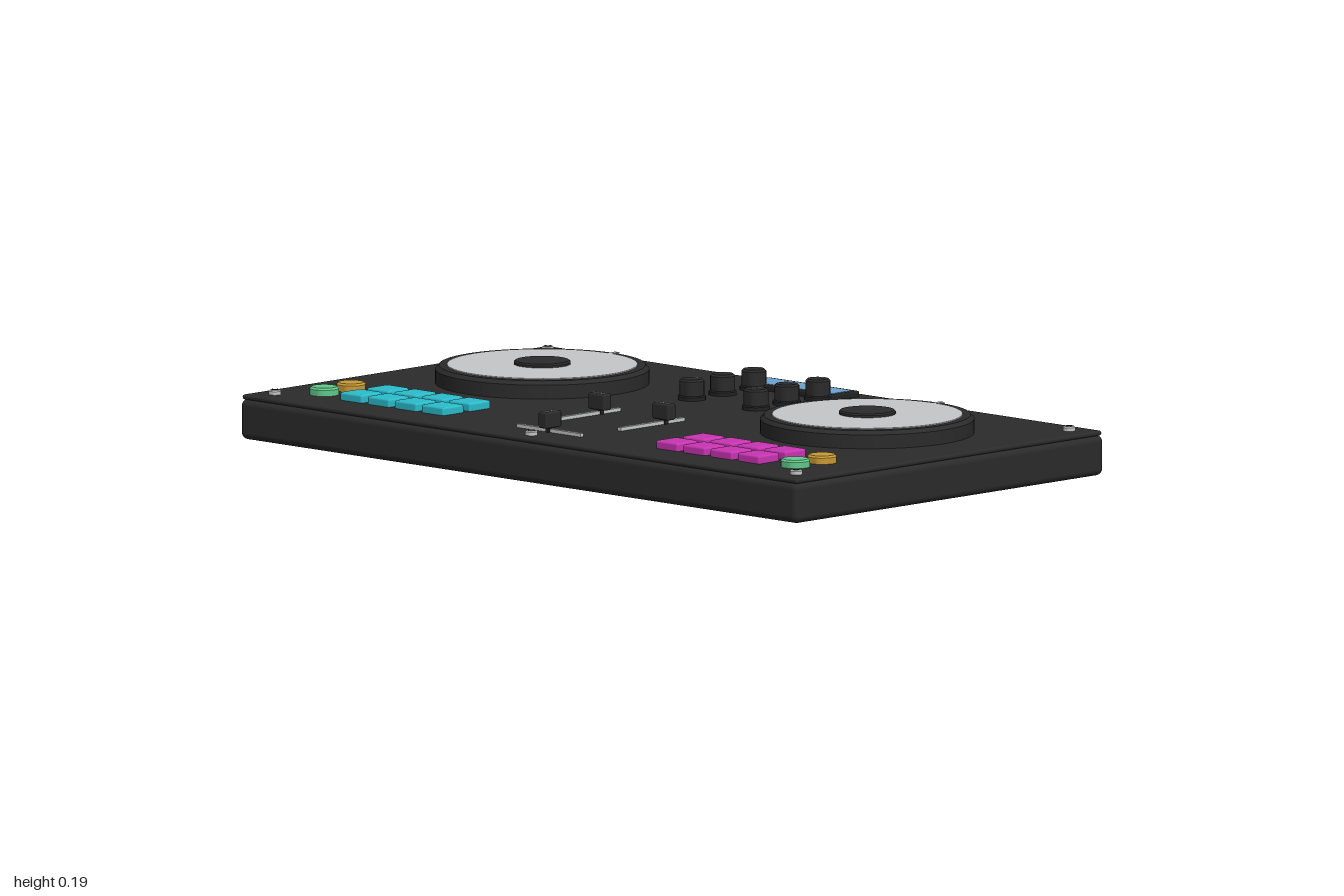
import * as THREE from 'three';
import { toCreasedNormals } from 'three/addons/utils/BufferGeometryUtils.js';
import { RoundedBoxGeometry } from 'three/addons/geometries/RoundedBoxGeometry.js';

const mat = (name, color) => {
  const m = new THREE.MeshStandardMaterial({ color });
  m.name = name;
  return m;
};

export function createModel() {
  const casing = mat('charcoal casing', 0x2b2b2b);
  const rubber = mat('black rubber', 0x222222);
  const silver = mat('silver', 0xc6c7c8);
  const cyan = mat('cyan pad', 0x2bbccb);
  const magenta = mat('magenta pad', 0xc935b3);
  const gold = mat('amber button', 0xc99a35);
  const green = mat('green button', 0x62c98a);
  const blue = mat('screen blue', 0x6fa3d0);

  const model = new THREE.Group();
  model.name = 'mixingController';
  const DECK = 0.134; // height of the top surface

  const add = (name, geometry, material, x, y, z, parent = model) => {
    const mesh = new THREE.Mesh(geometry, material);
    mesh.name = name;
    mesh.position.set(x, y, z);
    parent.add(mesh);
    return mesh;
  };
  const box = (w, h, d) => new THREE.BoxGeometry(w, h, d);
  const rounded = (w, h, d, r) => new RoundedBoxGeometry(w, h, d, 3, r);
  // Upright disc standing on its origin, with a chamfered top edge
  const disc = (r, h, bevel, sides = 32) => {
    const profile = [[0, 0], [r, 0], [r, h - bevel], [r - bevel, h], [0, h]];
    const points = profile.map(([x, y]) => new THREE.Vector2(x, y));
    return toCreasedNormals(new THREE.LatheGeometry(points, sides), 0.6);
  };

  // Casing and top panel
  add('body', rounded(2, 0.105, 1.13, 0.018), casing, 0, 0.0705, 0);
  add('topPanel', rounded(1.99, 0.013, 1.12, 0.006), casing, 0, DECK - 0.0065, 0);

  // Feet
  for (const x of [-0.87, 0.87]) {
    for (const z of [-0.433, 0.433]) {
      const foot = add('foot', disc(0.04, 0.025, 0.006, 24), rubber, x, 0.025, z);
      foot.rotation.x = Math.PI;
    }
  }

  // Screws with a cross slot
  const screwSpots = [[-0.935, -0.5], [0.935, -0.5], [-0.935, 0.5], [0.935, 0.5], [0, -0.53], [0, 0.515]];
  for (const [x, z] of screwSpots) {
    const screw = new THREE.Group();
    screw.name = 'screw';
    screw.position.set(x, DECK, z);
    model.add(screw);
    add('screwHead', disc(0.016, 0.012, 0.003, 16), silver, 0, 0, 0, screw);
    add('screwSlot', box(0.022, 0.002, 0.004), rubber, 0, 0.0122, 0, screw);
    add('screwSlot', box(0.004, 0.002, 0.022), rubber, 0, 0.0122, 0, screw);
  }

  for (const side of [-1, 1]) {
    // Jog wheel
    const jog = new THREE.Group();
    jog.name = 'jogWheel';
    jog.position.set(side * 0.583, DECK, -0.12);
    model.add(jog);
    add('jogRim', disc(0.275, 0.046, 0.01, 64), casing, 0, 0, 0, jog);
    add('jogPlatter', disc(0.245, 0.004, 0.001, 64), silver, 0, 0.0445, 0, jog);
    add('jogHub', disc(0.073, 0.012, 0.004, 40), casing, 0, 0.046, 0, jog);
    add('jogMarker', box(0.015, 0.004, 0.034), silver, 0, 0.046, -0.258, jog);

    // Performance pads, two rows of four
    for (let col = 0; col < 4; col++) {
      for (const z of [0.313, 0.411]) {
        const x = side * (0.42 + col * 0.0975);
        add('pad', rounded(0.079, 0.026, 0.077, 0.006), side < 0 ? cyan : magenta, x, DECK + 0.008, z);
      }
    }

    // Transport buttons
    add('cueButton', disc(0.038, 0.021, 0.005, 24), gold, side * 0.845, DECK, 0.313);
    add('playButton', disc(0.038, 0.021, 0.005, 24), green, side * 0.845, DECK, 0.411);

    // Equaliser knobs with pointer lines
    for (const z of [-0.19, -0.303, -0.417]) {
      const knob = new THREE.Group();
      knob.name = 'knob';
      knob.position.set(side * 0.115, DECK, z);
      model.add(knob);
      add('knobBase', disc(0.036, 0.012, 0.003, 24), rubber, 0, 0, 0, knob);
      add('knobCap', disc(0.032, 0.054, 0.005, 24), casing, 0, 0, 0, knob);
      add('knobPointer', box(0.006, 0.003, 0.02), silver, 0, 0.0535, -0.015, knob);
    }
  }

  // Faders: slot along local z, cap with a centre line
  const addFader = (name, x, z, length, capOffset, turn) => {
    const fader = new THREE.Group();
    fader.name = name;
    fader.position.set(x, DECK, z);
    fader.rotation.y = turn;
    model.add(fader);
    add('faderTrack', box(0.012, 0.009, length), silver, 0, 0.0045, 0, fader);
    add('faderStem', box(0.02, 0.02, 0.012), rubber, 0, 0.01, capOffset, fader);
    add('faderCap', rounded(0.058, 0.042, 0.03, 0.005), casing, 0, 0.033, capOffset, fader);
    add('faderCapLine', box(0.048, 0.003, 0.007), silver, 0, 0.0535, capOffset, fader);
  };
  addFader('leftChannelFader', 0.115, 0.193, 0.235, -0.046, 0);
  addFader('rightChannelFader', -0.115, 0.193, 0.235, -0.046, 0);
  addFader('crossfader', 0, 0.447, 0.23, 0, Math.PI / 2);

  // Display
  add('screenBezel', rounded(0.325, 0.018, 0.1, 0.004), rubber, 0, DECK + 0.006, -0.472);
  add('screen', box(0.3, 0.004, 0.078), blue, 0, DECK + 0.0145, -0.47);

  return model;
}
